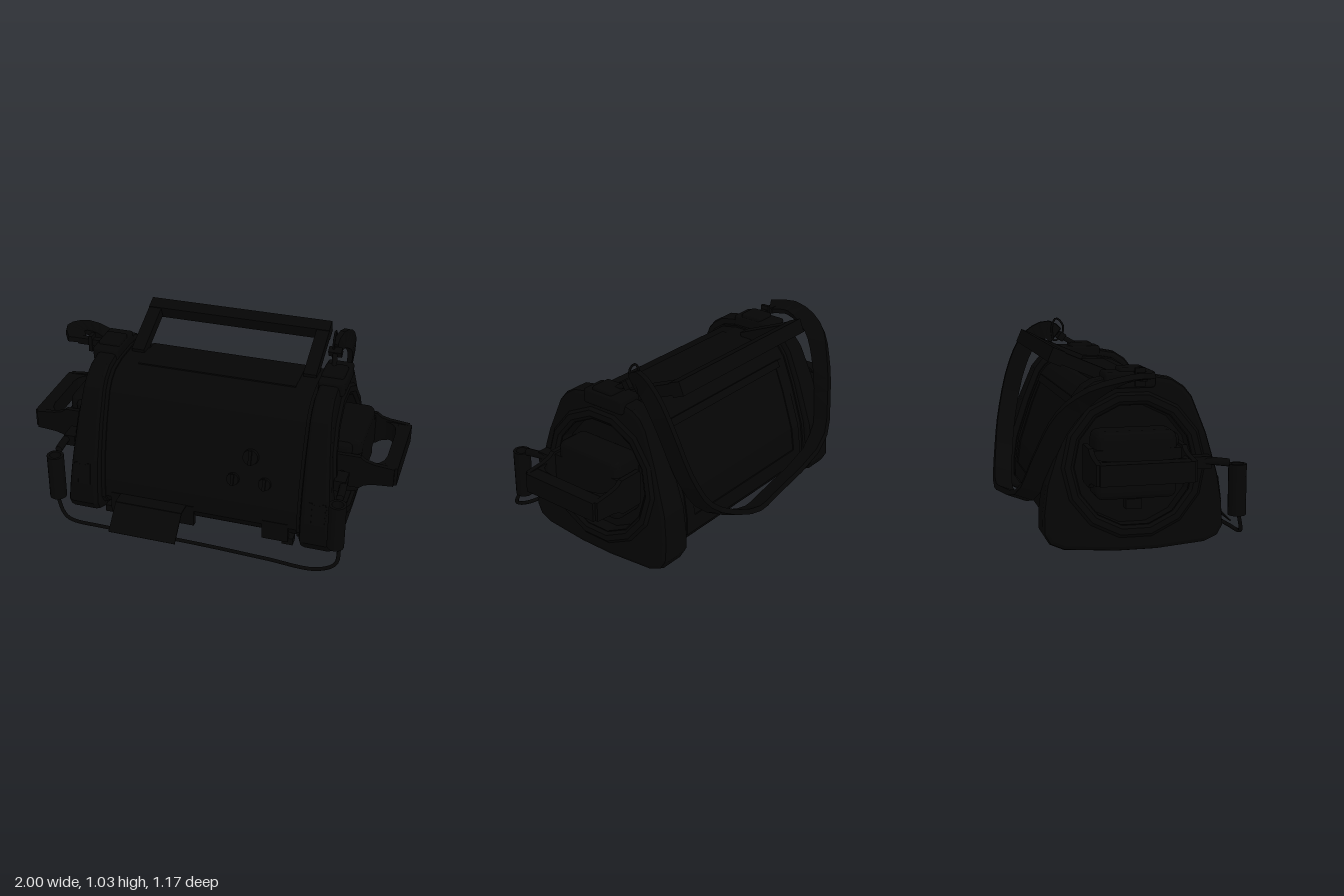
import * as THREE from 'three';
import { RoundedBoxGeometry } from 'three/addons/geometries/RoundedBoxGeometry.js';

const flat = new THREE.MeshStandardMaterial({ color: 0x050505, flatShading: true, side: THREE.DoubleSide });
const smooth = new THREE.MeshStandardMaterial({ color: 0x050505, side: THREE.DoubleSide });
const V = (x, y, z) => new THREE.Vector3(x, y, z);
const vec2 = list => list.map(q => new THREE.Vector2(...q));
const CY = 0.42, CZ = -0.01;

// Side profile as [z, y], shared by the casing, the end caps and the back frame
const profile = [[0.34, 0.02], [0.41, 0.05], [0.44, 0.1], [0.435, 0.22], [0.415, 0.36], [0.36, 0.56],
  [0.29, 0.74], [0.25, 0.79], [0.19, 0.83], [0.08, 0.85], [-0.1, 0.85], [-0.2, 0.83], [-0.25, 0.8],
  [-0.29, 0.75], [-0.36, 0.58], [-0.44, 0.34], [-0.46, 0.2], [-0.46, 0.1], [-0.43, 0.05],
  [-0.36, 0.02], [-0.1, 0], [0.1, 0]];

function add(parent, name, geo, pos = [0, 0, 0], mat = flat, rot = [0, 0, 0]) {
  const m = new THREE.Mesh(geo, mat);
  m.name = name;
  m.position.set(...pos);
  m.rotation.set(...rot);
  parent.add(m);
  return m;
}
const box = (p, name, size, pos, rot) => add(p, name, new THREE.BoxGeometry(...size), pos, flat, rot);
const tube = (p, name, pts, r, closed = false, n = 48) =>
  add(p, name, new THREE.TubeGeometry(new THREE.CatmullRomCurve3(pts, closed), n, r, 8, closed), [0, 0, 0], smooth);

// Extrude a side outline along x
function extrudeX(shape, x0, depth, bevel = 0) {
  const g = new THREE.ExtrudeGeometry(shape, { depth: depth - bevel, bevelEnabled: bevel > 0,
    bevelThickness: bevel, bevelSize: bevel, bevelOffset: -bevel, bevelSegments: 2 });
  return g.rotateY(Math.PI / 2).translate(x0, 0, 0);
}
const outline = (sz, sy) => profile.map(([z, y]) =>
  new THREE.Vector2(-(CZ + (z - CZ) * sz), CY + (y - CY) * sy));
const shapeOf = (sz = 1, sy = 1) => new THREE.Shape(outline(sz, sy));

// Flat ribbon swept along points, with a width direction at each
function ribbon(pts, dirs, width, thick) {
  const c = new THREE.CatmullRomCurve3(pts), d = new THREE.CatmullRomCurve3(dirs);
  const n = 40, pos = [], idx = [];
  for (let i = 0; i <= n; i++) {
    const t = i / n, p = c.getPoint(t), T = c.getTangent(t), w = d.getPoint(t);
    w.addScaledVector(T, -w.dot(T)).normalize();
    const k = V(0, 0, 0).crossVectors(T, w);
    for (const [a, b] of [[-1, -1], [1, -1], [1, 1], [-1, 1]]) {
      const q = p.clone().addScaledVector(w, a * width / 2).addScaledVector(k, b * thick / 2);
      pos.push(q.x, q.y, q.z);
    }
    if (i < n) for (let j = 0; j < 4; j++) {
      const a = i * 4 + j, b = i * 4 + (j + 1) % 4;
      idx.push(a, b, a + 4, b, b + 4, a + 4);
    }
  }
  idx.push(0, 2, 1, 0, 3, 2, n * 4, n * 4 + 1, n * 4 + 2, n * 4, n * 4 + 2, n * 4 + 3);
  const g = new THREE.BufferGeometry();
  g.setAttribute('position', new THREE.Float32BufferAttribute(pos, 3));
  g.setIndex(idx);
  g.computeVertexNormals();
  return g;
}

// Everything at the +x end; mirrored for the other
function buildEnd() {
  const e = new THREE.Group();
  // Cap with a round recess, its outer face leaning inward at the top
  const s = shapeOf(), hole = [];
  for (let i = 0; i < 14; i++) {
    const a = -i / 14 * Math.PI * 2;
    hole.push(new THREE.Vector2(-CZ + 0.32 * Math.cos(a), CY + 0.32 * Math.sin(a)));
  }
  s.holes.push(new THREE.Path(hole));
  const cap = extrudeX(s, 0.575, 0.125, 0.025), p = cap.attributes.position;
  for (let i = 0; i < p.count; i++) {
    const k = (p.getX(i) - 0.55) / 0.15;
    p.setX(i, p.getX(i) - (p.getY(i) - CY) * 0.1 * k);
  }
  cap.computeVertexNormals();
  add(e, 'endCap', cap);
  const tilt = [0, 0, -Math.PI / 2 + 0.1];
  const ring = vec2([[0.29, -0.08], [0.3, 0], [0.315, 0.015], [0.345, 0.015], [0.36, 0], [0.365, -0.04]]);
  add(e, 'recessRing', new THREE.LatheGeometry(ring, 14), [0.7, CY, CZ], flat, tilt);
  add(e, 'recessFloor', new THREE.CylinderGeometry(0.31, 0.31, 0.03, 14), [0.615, CY, CZ], flat, tilt);
  // Hub and its raised pads
  add(e, 'hub', new RoundedBoxGeometry(0.19, 0.33, 0.4, 2, 0.04), [0.71, 0.435, CZ - 0.01]);
  add(e, 'hubPad', new RoundedBoxGeometry(0.12, 0.07, 0.42, 2, 0.025), [0.7, 0.545, CZ]);
  box(e, 'hubTab', [0.07, 0.05, 0.08], [0.66, 0.225, CZ]);

  // Side handle: base plate, two flaring arms, a grip and corner fillets
  box(e, 'sideHandleBase', [0.13, 0.16, 0.48], [0.74, 0.437, -0.02]);
  const arm = new THREE.Shape(vec2([[0.68, 0.345], [0.81, 0.345], [0.835, 0.365], [0.88, 0.378], [0.985, 0.387],
    [0.985, 0.487], [0.88, 0.498], [0.835, 0.51], [0.81, 0.53], [0.68, 0.53]]));
  for (const z of [0.195, -0.26]) {
    add(e, 'sideHandleArm', new THREE.ExtrudeGeometry(arm, { depth: 0.025, bevelEnabled: false }), [0, 0, z]);
  }
  box(e, 'sideHandleGrip', [0.072, 0.1, 0.45], [0.964, 0.437, -0.02]);
  const fillet = new THREE.Shape(vec2([[0.93, 0], [0.86, 0], [0.9, -0.02], [0.92, -0.05], [0.93, -0.1]]));
  for (const [z, r] of [[0.196, Math.PI / 2], [-0.236, -Math.PI / 2]]) {
    const f = new THREE.ExtrudeGeometry(fillet, { depth: 0.104, bevelEnabled: false }).translate(0, 0, -0.052);
    // The lower fillet is turned over so both curve into the opening
    add(e, 'sideHandleFillet', f, [0, 0.437, z], flat, [r, 0, 0]);
  }

  // Hollow holder on its bracket
  tube(e, 'holderArm', [V(0.72, 0.43, 0.24), V(0.752, 0.435, 0.34), V(0.758, 0.422, 0.45)], 0.02, false, 8);
  box(e, 'armMount', [0.06, 0.06, 0.1], [0.735, 0.428, 0.31]);
  const wall = vec2([[0.03, 0], [0.045, 0], [0.045, 0.255], [0.03, 0.255], [0.03, 0]]);
  add(e, 'holder', new THREE.LatheGeometry(wall, 16), [0.758, 0.16, 0.495]);

  // Strap mount on top and latch at the front
  add(e, 'strapMount', new RoundedBoxGeometry(0.14, 0.08, 0.25, 2, 0.015), [0.615, 0.83, -0.025]);
  add(e, 'strapMountTop', new RoundedBoxGeometry(0.12, 0.04, 0.13, 2, 0.015), [0.61, 0.87, -0.01]);
  box(e, 'latch', [0.1, 0.09, 0.03], [0.64, 0.285, 0.411], [-0.14, 0, 0]);
  for (const x of [0.605, 0.675]) box(e, 'latchRail', [0.018, 0.12, 0.03], [x, 0.28, 0.415], [-0.14, 0, 0]);
  return e;
}

export function createModel() {
  const g = new THREE.Group();
  g.name = 'equipmentCase';

  // Main casing with shallow bands near the caps
  add(g, 'casing', extrudeX(shapeOf(0.88, 0.9), -0.59, 1.18));
  for (const x of [-0.57, 0.53]) add(g, 'casingBand', extrudeX(shapeOf(0.9, 0.92), x, 0.04));
  box(g, 'bottomPanel', [1.0, 0.03, 0.6], [0, 0.04, -0.02]);
  box(g, 'topPanel', [0.86, 0.02, 0.24], [0, 0.8, -0.03]);

  // Raised frame following the back of the casing
  const rib = (i, j) => new THREE.Shape([...outline(0.895, 0.9).slice(i, j), ...outline(0.84, 0.9).slice(i, j).reverse()]);
  for (const x of [-0.5, 0.44]) add(g, 'backFrameSide', extrudeX(rib(13, 18), x, 0.06));
  add(g, 'backFrameLowerRail', extrudeX(rib(16, 18), -0.46, 0.92));
  box(g, 'backFrameUpperRail', [0.92, 0.04, 0.03], [0, 0.7, -0.262], [0.4, 0, 0]);

  // Both ends
  for (const s of [1, -1]) {
    const end = buildEnd();
    end.name = s > 0 ? 'leftEnd' : 'rightEnd';
    end.scale.x = s;
    g.add(end);
  }

  // Carry handle leaning to the back
  for (const x of [-0.475, 0.475]) {
    box(g, 'carryHandlePost', [0.07, 0.06, 0.36], [x, 0.87, -0.2], [0.4, 0, 0]);
  }
  box(g, 'carryHandleBar', [1.02, 0.075, 0.07], [0, 0.93, -0.35], [0.4, 0, 0]);

  // Front knobs with grip bars
  for (const [x, y, z, r] of [[0.265, 0.495, 0.32, 0.045], [0.18, 0.365, 0.352, 0.036], [0.35, 0.365, 0.352, 0.036]]) {
    const k = new THREE.Group();
    k.name = 'knob';
    k.position.set(x, y, z);
    k.rotation.x = Math.PI / 2 - 0.28;
    add(k, 'knobBody', new THREE.CylinderGeometry(r * 0.9, r, 0.04, 16), [0, 0.01, 0]);
    box(k, 'knobGrip', [0.016, 0.02, r * 1.7], [0, 0.03, 0]);
    g.add(k);
  }
  // Front lower hatches
  box(g, 'frontHatch', [0.47, 0.12, 0.03], [-0.265, 0.1, 0.374]);
  box(g, 'frontPort', [0.14, 0.11, 0.03], [0.415, 0.1, 0.374]);
  for (const x of [-0.51, 0.48]) box(g, 'hinge', [0.06, 0.04, 0.05], [x, 0.04, 0.35]);

  // Cable strung between the holders
  tube(g, 'cable', [V(-0.76, 0.2, 0.495), V(-0.745, 0.13, 0.515), V(-0.69, 0.06, 0.54), V(-0.5, 0.04, 0.54),
    V(-0.25, 0.035, 0.525), V(0.1, 0.028, 0.52), V(0.4, 0.03, 0.535), V(0.68, 0.04, 0.555),
    V(0.775, 0.09, 0.545), V(0.78, 0.16, 0.51), V(0.77, 0.2, 0.495)], 0.01, false, 90);
  // Folded flap from the hatch over the cable
  box(g, 'flapTop', [0.37, 0.008, 0.085], [-0.258, 0.157, 0.42]);
  box(g, 'flapFront', [0.37, 0.165, 0.008], [-0.258, 0.099, 0.517], [-0.8, 0, 0]);

  // Shoulder strap drooping behind the casing
  const low = V(0, 0.35, -0.93);
  add(g, 'shoulderStrap', ribbon(
    [V(-0.8, 0.86, 0.03), V(-0.86, 0.86, -0.08), V(-0.83, 0.79, -0.25), V(-0.745, 0.66, -0.365),
      V(-0.66, 0.48, -0.44), V(-0.54, 0.28, -0.5), V(-0.05, 0.165, -0.527), V(0.14, 0.155, -0.535),
      V(0.44, 0.3, -0.49), V(0.56, 0.5, -0.45), V(0.62, 0.76, -0.38), V(0.63, 0.91, -0.3),
      V(0.605, 0.965, -0.2), V(0.585, 0.93, -0.155)],
    [V(-1, 0.2, 0), V(-0.95, 0.2, -0.2), V(-0.6, 0.4, -0.6), V(-0.1, 0.4, -0.9), low, low, low, low, low, low,
      V(0, 0.4, -0.9), V(0, 0.75, -0.65), V(0, 1, -0.05), V(0, 0.85, 0.5)], 0.1, 0.028));

  // Strap hooks
  box(g, 'rightHook', [0.2, 0.035, 0.035], [-0.7, 0.855, 0.01]);
  box(g, 'rightHookLever', [0.02, 0.09, 0.05], [-0.725, 0.85, 0.01]);
  tube(g, 'leftHookStem', [V(0.6, 0.87, -0.03), V(0.59, 0.9, -0.08), V(0.58, 0.93, -0.14)], 0.014, false, 8);
  box(g, 'leftHookCollar', [0.07, 0.045, 0.035], [0.585, 0.925, -0.125], [0.6, 0, 0]);
  tube(g, 'leftHookLoop', [V(0.575, 0.94, -0.12), V(0.575, 0.99, -0.115), V(0.575, 1.03, -0.155),
    V(0.575, 0.98, -0.18), V(0.575, 0.9, -0.165)], 0.006, true, 24);
  return g;
}
